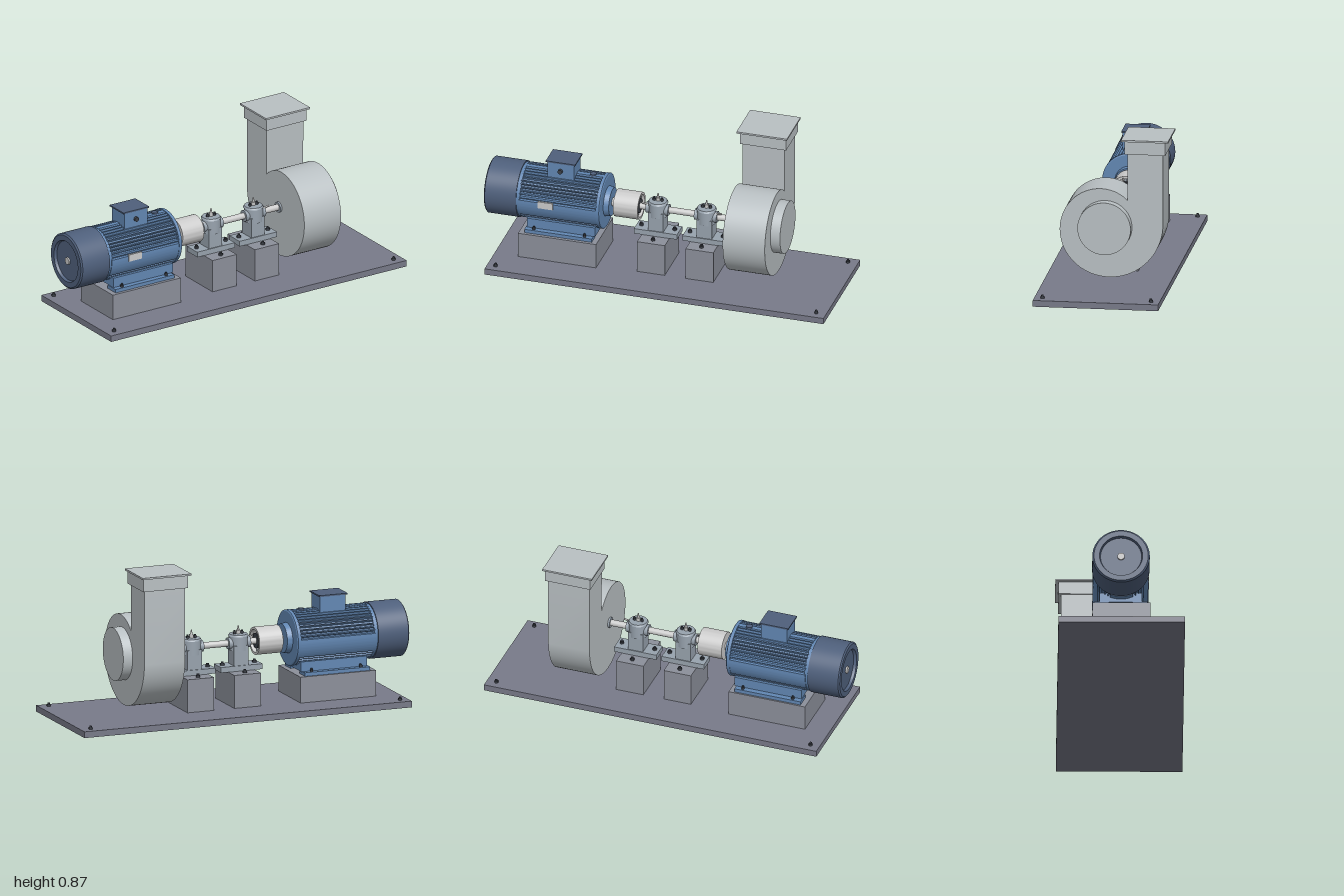
import * as THREE from 'three';
import { toCreasedNormals } from 'three/addons/utils/BufferGeometryUtils.js';

const mat = (color) => new THREE.MeshStandardMaterial({ color });
const M = {
  base: mat(0x787a89), block: mat(0x8c909b), blue: mat(0x6287b3), navy: mat(0x4f607c),
  casing: mat(0xb9c0c3), steel: mat(0xcccccc), housing: mat(0x98a3ae), dark: mat(0x3c4048),
};
const AXIS = 0.37;

function add(parent, name, geometry, material) {
  const mesh = new THREE.Mesh(geometry, material);
  mesh.name = name;
  parent.add(mesh);
  return mesh;
}

// Box given by its limits on each axis
function box(parent, name, material, x0, x1, y0, y1, z0, z1) {
  const m = add(parent, name, new THREE.BoxGeometry(x1 - x0, y1 - y0, z1 - z0), material);
  m.position.set((x0 + x1) / 2, (y0 + y1) / 2, (z0 + z1) / 2);
  return m;
}

// Cylinder lying along x, centred on the shaft line
function rod(parent, name, material, x0, x1, r, seg = 48) {
  const m = add(parent, name, new THREE.CylinderGeometry(r, r, x1 - x0, seg).rotateZ(-Math.PI / 2), material);
  m.position.set((x0 + x1) / 2, AXIS, 0);
  return m;
}

// Upright cylinder or cone
function post(parent, name, material, x, y0, y1, z, r, rTop = r, seg = 24) {
  const m = add(parent, name, new THREE.CylinderGeometry(rTop, r, y1 - y0, seg), material);
  m.position.set(x, (y0 + y1) / 2, z);
  return m;
}

// Turned part along x from [x, radius] pairs running towards +x
function turned(parent, name, material, pts) {
  const g = new THREE.LatheGeometry(pts.map(([x, r]) => new THREE.Vector2(r, x)), 64).rotateZ(-Math.PI / 2);
  const m = add(parent, name, toCreasedNormals(g, 0.5), material);
  m.position.y = AXIS;
  return m;
}

// Shape in (-z, y) extruded along x
function extrudeX(parent, name, material, points, x0, x1) {
  const g = new THREE.ExtrudeGeometry(new THREE.Shape(points), { depth: x1 - x0, bevelEnabled: false });
  const m = add(parent, name, toCreasedNormals(g.rotateY(Math.PI / 2), 0.4), material);
  m.position.x = x0;
  return m;
}

function bolt(parent, x, y, z, r = 0.01) {
  post(parent, 'boltHead', M.dark, x, y, y + 0.012, z, r, r, 6);
  post(parent, 'boltEnd', M.dark, x, y + 0.012, y + 0.019, z, r * 0.6, r * 0.6, 12);
}

function makeMotor() {
  const g = new THREE.Group();
  g.name = 'motor';
  box(g, 'motorPlinth', M.block, -0.8, -0.355, 0.035, 0.18, -0.155, 0.163);

  // Ribbed barrel: grooves above and below, plain panels at the sides
  const pts = [];
  const step = 1.5;
  for (let i = 0; i < 360 / step; i++) {
    const deg = i * step;
    const up = Math.asin(Math.sin(deg * Math.PI / 180)) * 180 / Math.PI;
    const ribbed = (up > 5 && up < 84) || (up < -36 && up > -66);
    const r = ribbed && i % 5 < 3 ? 0.138 : 0.153;
    const a = deg * Math.PI / 180;
    pts.push(new THREE.Vector2(r * Math.cos(a), AXIS + r * Math.sin(a)));
  }
  extrudeX(g, 'ribbedBarrel', M.blue, pts, -0.8, -0.355);
  turned(g, 'driveEndBell', M.blue, [[-0.36, 0], [-0.36, 0.155], [-0.342, 0.155], [-0.338, 0.148],
    [-0.338, 0.085], [-0.308, 0.08], [-0.308, 0]]);
  turned(g, 'fanCover', M.navy, [[-0.985, 0], [-0.985, 0.112], [-1, 0.118], [-1, 0.148], [-0.993, 0.157],
    [-0.815, 0.157], [-0.815, 0]]);
  rod(g, 'coverNeck', M.blue, -0.818, -0.795, 0.15);
  rod(g, 'fanHub', M.steel, -0.994, -0.98, 0.02, 24);

  // Feet
  box(g, 'footWeb', M.blue, -0.765, -0.375, 0.2, 0.255, -0.115, 0.115);
  for (const s of [-1, 1]) {
    box(g, 'footPlate', M.blue, -0.77, -0.385, 0.18, 0.2, s * 0.105 - 0.04, s * 0.105 + 0.04);
    for (const x of [-0.72, -0.43]) bolt(g, x, 0.2, s * 0.13, 0.009);
  }

  // Terminal box, lifting eye and rating plate
  box(g, 'terminalBox', M.blue, -0.66, -0.51, 0.49, 0.597, -0.06, 0.066);
  box(g, 'terminalLid', M.navy, -0.67, -0.502, 0.597, 0.605, -0.066, 0.072);
  const gland = post(g, 'cableGland', M.dark, -0.587, 0.54, 0.56, 0.07, 0.013, 0.013, 16);
  gland.rotation.x = Math.PI / 2;
  post(g, 'liftingBoss', M.navy, -0.42, 0.515, 0.529, 0, 0.018);
  box(g, 'ratingPlate', M.steel, -0.69, -0.605, 0.35, 0.39, 0.145, 0.156);
  return g;
}

function makeDrive() {
  const g = new THREE.Group();
  g.name = 'driveLine';
  rod(g, 'motorShaft', M.steel, -0.31, -0.2, 0.024, 32);
  rod(g, 'fanShaft', M.steel, -0.22, 0.4, 0.018, 32);
  // Coupling sleeve with a dark hub set inside its open end
  turned(g, 'couplingSleeve', M.steel, [[-0.285, 0], [-0.285, 0.077], [-0.145, 0.077], [-0.145, 0.063],
    [-0.18, 0.063], [-0.18, 0]]);
  rod(g, 'couplingHub', M.dark, -0.19, -0.152, 0.042, 32);
  for (let i = 0; i < 6; i++) {
    const a = i * Math.PI / 3;
    const b = rod(g, 'couplingBolt', M.housing, -0.185, -0.16, 0.007, 12);
    b.position.y += 0.052 * Math.cos(a);
    b.position.z = 0.052 * Math.sin(a);
  }
  return g;
}

function makeBearing(x, side) {
  const g = new THREE.Group();
  g.name = 'bearingStand';
  g.position.x = x;
  box(g, 'bearingPlinth', M.block, -0.079, 0.079, 0.035, 0.22, -0.135, 0.135);
  box(g, 'solePlate', M.housing, -0.123, 0.123, 0.22, 0.25, -0.05, 0.05);
  for (const s of [-1, 1]) {
    bolt(g, 0, 0.22, s * 0.095, 0.012);
    bolt(g, s * 0.095, 0.25, 0, 0.012);
  }
  box(g, 'pillar', M.housing, -0.043, 0.043, 0.25, 0.36, -0.045, 0.045);
  post(g, 'housing', M.housing, 0, 0.33, 0.41, 0, 0.052, 0.052, 40);
  post(g, 'housingCap', M.housing, 0, 0.41, 0.42, 0, 0.056, 0.05, 40);
  rod(g, 'shaftSeal', M.housing, -0.064, 0.064, 0.032, 32);
  // Cap bolts and grease nipple
  for (const s of [-1, 1]) bolt(g, s * 0.022, 0.42, 0, 0.009);
  post(g, 'nippleBase', M.steel, 0, 0.42, 0.44, 0, 0.012, 0.012, 6);
  post(g, 'nippleTip', M.steel, 0, 0.44, 0.465, 0, 0.007, 0.003, 12);
  // Small probe leaning out of the housing
  const probe = post(g, 'probe', M.steel, side * 0.06, 0.365, 0.425, 0.015, 0.005, 0.005, 12);
  probe.rotation.z = -side * 1.35;
  return g;
}

function makeFan() {
  const g = new THREE.Group();
  g.name = 'blower';
  // Spiral casing widening steadily from the tongue, then running up into the duct
  const pts = [];
  for (let d = -40; d <= 270; d += 5) {
    const r = 0.212 + 0.036 * d / 90;
    const a = (90 + d) * Math.PI / 180;
    pts.push(new THREE.Vector2(r * Math.cos(a) - 0.003, AXIS + r * Math.sin(a)));
  }
  pts.push(new THREE.Vector2(0.317, 0.79), new THREE.Vector2(0.122, 0.79));
  extrudeX(g, 'spiralCasing', M.casing, pts, 0.395, 0.635);
  box(g, 'outletCollar', M.casing, 0.385, 0.648, 0.785, 0.857, -0.332, -0.108);
  box(g, 'outletFlange', M.casing, 0.37, 0.658, 0.857, 0.867, -0.349, -0.09);
  rod(g, 'inletRing', M.casing, 0.63, 0.69, 0.147, 64);
  rod(g, 'shaftCollar', M.housing, 0.385, 0.4, 0.03, 32);
  return g;
}

export function createModel() {
  const model = new THREE.Group();
  model.name = 'motorDrivenBlower';
  box(model, 'basePlate', M.base, -0.935, 1, 0, 0.035, -0.342, 0.35);
  for (const x of [-0.885, 0.945]) for (const z of [-0.295, 0.304]) bolt(model, x, 0.035, z, 0.011);
  model.add(makeMotor(), makeDrive(), makeBearing(-0.05, -1), makeBearing(0.227, 1), makeFan());
  return model;
}
